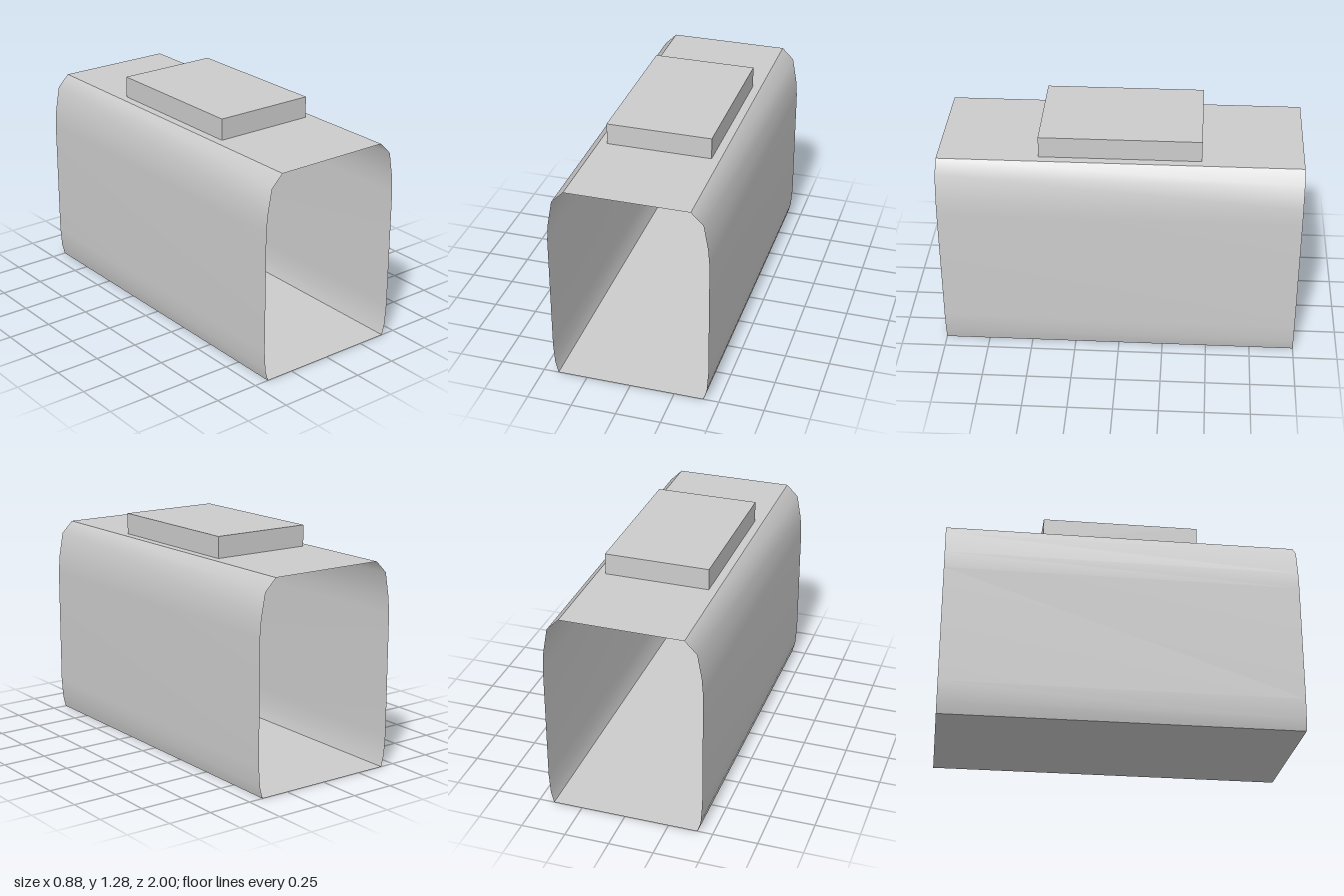
import * as THREE from 'three';

// Smooth open sheet: a cross-section of [x, y] points swept along z
function sweep(points, halfLength) {
  const positions = [], index = [];
  points.forEach(([x, y], i) => {
    positions.push(x, y, halfLength, x, y, -halfLength);
    if (i > 0) {
      const a = 2 * (i - 1);
      index.push(a, a + 2, a + 1, a + 1, a + 2, a + 3);
    }
  });
  const geometry = new THREE.BufferGeometry();
  geometry.setAttribute('position', new THREE.Float32BufferAttribute(positions, 3));
  geometry.setIndex(index);
  geometry.computeVertexNormals();
  return geometry;
}

export function createModel() {
  const model = new THREE.Group();
  model.name = 'openSleeveWithTopBlock';
  const grey = new THREE.MeshStandardMaterial({ color: 0xcccccc, side: THREE.DoubleSide });
  grey.name = 'light grey';

  const add = (name, geometry) => {
    const mesh = new THREE.Mesh(geometry, grey);
    mesh.name = name;
    model.add(mesh);
    return mesh;
  };

  // Side profile from the bottom edge up to the rounded shoulder
  const side = [
    [0.415, 0], [0.432, 0.065], [0.44, 0.18], [0.44, 0.86],
    [0.432, 0.96], [0.407, 1.098], [0.34, 1.165],
  ];
  const mirrored = side.map(([x, y]) => [-x, y]).reverse();
  const bottom = side[0], top = side[side.length - 1];

  // Thin sleeve, open at both ends, creased where the walls meet top and floor
  add('leftWall', sweep(side, 1));
  add('rightWall', sweep(mirrored, 1));
  add('roof', sweep([top, [-top[0], top[1]]], 1));
  add('floor', sweep([[-bottom[0], 0], bottom], 1));

  // Raised block on the roof
  add('topBlock', new THREE.BoxGeometry(0.586, 0.12, 0.89)).position.y = 1.225;

  return model;
}
